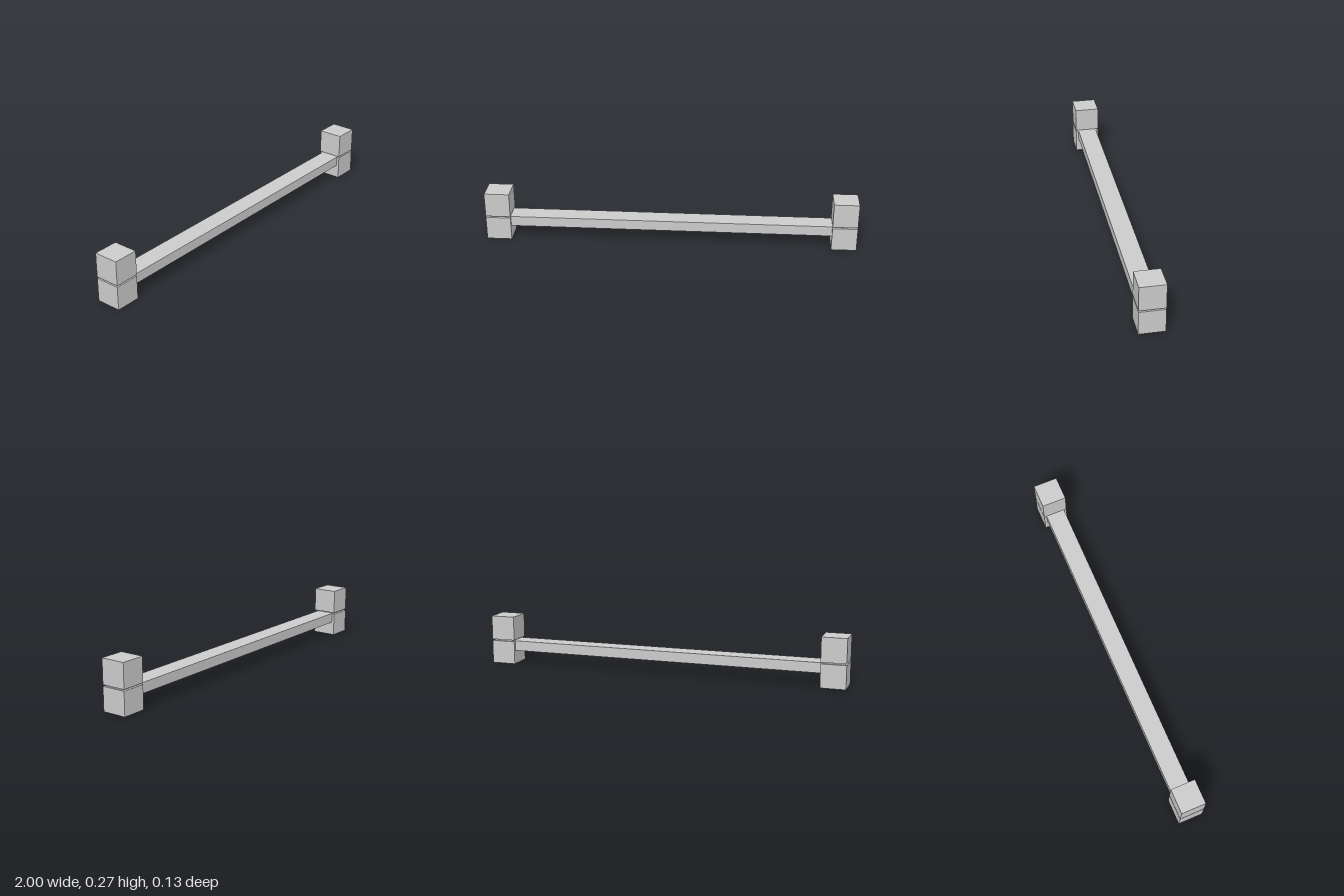
import * as THREE from 'three';

const material = new THREE.MeshStandardMaterial({ color: 0xcccccc, flatShading: true });

// Box given by its lower and upper limits in y and its centre in x
function box(name, width, depth, y0, y1, x = 0) {
  const mesh = new THREE.Mesh(new THREE.BoxGeometry(width, y1 - y0, depth), material);
  mesh.name = name;
  mesh.position.set(x, (y0 + y1) / 2, 0);
  return mesh;
}

export function createModel() {
  const model = new THREE.Group();
  model.name = 'barrier';

  // Long rail running into both end posts
  model.add(box('rail', 1.8, 0.105, 0.075, 0.13));

  // End posts: two stacked blocks with a thin recessed spacer between them
  for (const side of [-1, 1]) {
    const post = new THREE.Group();
    post.name = side > 0 ? 'leftPost' : 'rightPost';
    const x = side * 0.933;
    post.add(
      box('lowerBlock', 0.134, 0.134, 0, 0.127, x),
      box('spacer', 0.114, 0.105, 0.127, 0.135, x),
      box('upperBlock', 0.134, 0.134, 0.135, 0.267, x)
    );
    model.add(post);
  }
  return model;
}
